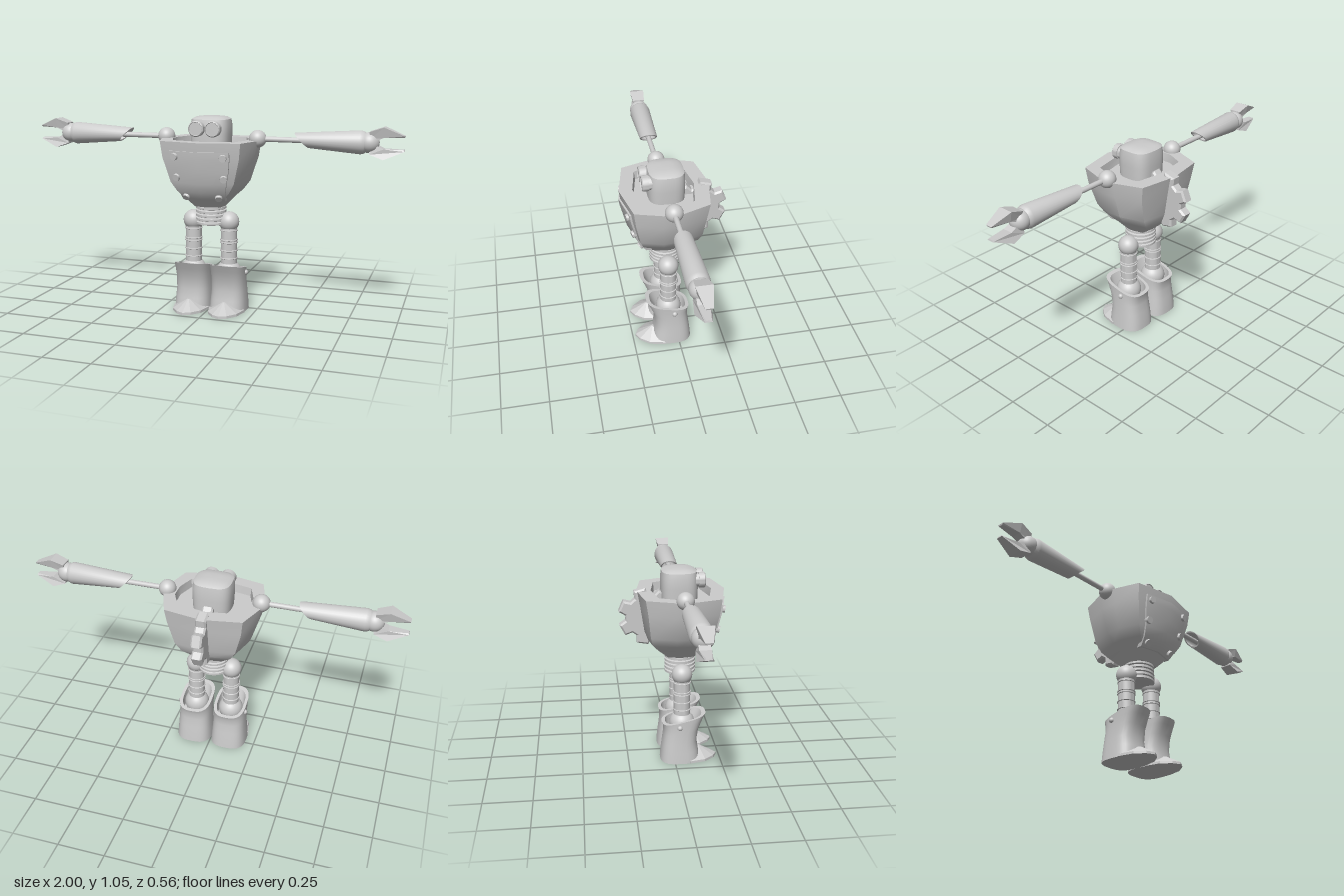
import * as THREE from 'three';
import { toCreasedNormals } from 'three/addons/utils/BufferGeometryUtils.js';

const material = new THREE.MeshStandardMaterial({ color: 0xcccccc });
const MID = 0.045; // depth of the body axis

function add(parent, name, geometry, x = 0, y = 0, z = 0) {
  const mesh = new THREE.Mesh(geometry, material);
  mesh.name = name;
  mesh.position.set(x, y, z);
  parent.add(mesh);
  return mesh;
}

// Skin a list of closed rings ([x, y, z] points) and cap both ends
function loft(rings, crease = 0.45) {
  const n = rings[0].length, pos = rings.flat(2), index = [];
  for (let r = 0; r < rings.length - 1; r++) {
    for (let i = 0; i < n; i++) {
      const a = r * n + i, b = r * n + (i + 1) % n;
      index.push(a, b, b + n, a, b + n, a + n);
    }
  }
  [rings[0], rings[rings.length - 1]].forEach((ring, end) => {
    const c = pos.length / 3, o = end ? (rings.length - 1) * n : 0;
    for (let k = 0; k < 3; k++) pos.push(ring.reduce((s, p) => s + p[k], 0) / n);
    for (let i = 0; i < n; i++) {
      const a = o + i, b = o + (i + 1) % n;
      if (end) index.push(c, a, b); else index.push(c, b, a);
    }
  });
  const g = new THREE.BufferGeometry();
  g.setAttribute('position', new THREE.Float32BufferAttribute(pos, 3));
  g.setIndex(index);
  return toCreasedNormals(g, crease);
}

// Rounded-square ring around the y axis; y may depend on z
function roundedRing(hx, zf, zb, yAt, power = 0.7, n = 32) {
  const bend = v => Math.sign(v) * Math.abs(v) ** power;
  return Array.from({ length: n }, (_, i) => {
    const a = i / n * Math.PI * 2;
    const z = (zf + zb) / 2 + (zf - zb) / 2 * bend(Math.cos(a));
    return [hx * bend(Math.sin(a)), yAt(z), z];
  });
}

const lathe = pts => toCreasedNormals(
  new THREE.LatheGeometry(pts.map(p => new THREE.Vector2(...p)), 32), 0.6);

// Torso levels: y, half width, front z, back z
const LEVELS = [
  [0.57, 0.08, 0.127, -0.037], [0.625, 0.13, 0.185, -0.1], [0.66, 0.17, 0.212, -0.133],
  [0.71, 0.207, 0.235, -0.152], [0.84, 0.248, 0.268, -0.172], [0.925, 0.26, 0.28, -0.187],
];

function torsoRing([y, hx, zf, zb]) {
  const k = hx / 0.26;
  const half = [[0, zf], [0.83 * hx, zf - 0.045 * k], [hx, MID + 0.05 * k],
    [hx, MID - 0.05 * k], [0.79 * hx, zb + 0.035 * k], [0, zb]];
  const other = half.slice(1, -1).reverse().map(([x, z]) => [-x, z]);
  return [...half, ...other].map(([x, z]) => [x, y, z]);
}

// Depth of the torso's front surface at (x, y)
function frontZ(x, y) {
  let i = 0;
  while (i < LEVELS.length - 2 && LEVELS[i + 1][0] < y) i++;
  const a = LEVELS[i], b = LEVELS[i + 1], t = (y - a[0]) / (b[0] - a[0]);
  const hx = a[1] + (b[1] - a[1]) * t, zf = a[2] + (b[2] - a[2]) * t;
  return zf - 0.045 * (hx / 0.26) * Math.abs(x) / (0.83 * hx);
}

function buildTorso(root) {
  // Shell with a rim and a sunken deck
  add(root, 'torso', loft([...LEVELS.map(torsoRing),
    torsoRing([0.925, 0.2, 0.21, -0.11]), torsoRing([0.88, 0.195, 0.205, -0.105])]));

  // Chest panel hugging the front, skinned from bottom to top
  const panelRings = [0.615, 0.625, 0.66, 0.71, 0.775, 0.84, 0.878].map(y => {
    const w = 0.115 + 0.045 * Math.min(1, (y - 0.615) / 0.2);
    const xs = [0, w], out = x => frontZ(x, y) + 0.01, inn = x => frontZ(x, y) - 0.02;
    return [[0, y, out(0)], [xs[1], y, out(w)], [w, y, inn(w)],
      [0, y, inn(0)], [-w, y, inn(w)], [-w, y, out(w)]];
  });
  add(root, 'chestPanel', loft(panelRings));
  for (const s of [-1, 1]) {
    for (const [x, y] of [[0.13, 0.85], [0.127, 0.74], [0.088, 0.635]]) {
      const g = new THREE.CylinderGeometry(0.018, 0.021, 0.022, 16).rotateX(Math.PI / 2);
      const slope = (frontZ(x, y + 0.01) - frontZ(x, y - 0.01)) / 0.02;
      add(root, 'panelBolt', toCreasedNormals(g, 0.6), s * x, y, frontZ(x, y) + 0.012)
        .rotation.set(Math.atan(slope), s * 0.2, 0);
    }
  }

  // Seven-toothed gear standing out of the back
  const gear = new THREE.Shape();
  for (let i = 0; i < 7; i++) {
    const mid = (23 + i * 360 / 7) * Math.PI / 180;
    [[-0.27, 0.109], [-0.165, 0.144], [0.165, 0.144], [0.27, 0.109]].forEach(([da, r], j) => {
      const x = r * Math.cos(mid + da), y = r * Math.sin(mid + da);
      if (i || j) gear.lineTo(x, y); else gear.moveTo(x, y);
    });
  }
  const gearGeo = new THREE.ExtrudeGeometry(gear, { depth: 0.04, bevelSize: 0.009,
    bevelThickness: 0.009, bevelSegments: 1 }).translate(0, 0, -0.02).rotateY(Math.PI / 2);
  add(root, 'backGear', gearGeo, 0, 0.788, -0.13);

  // Ribbed waist
  const pts = [[0, 0.47]];
  for (let i = 0; i < 5; i++) {
    const y = 0.47 + i * 0.021;
    pts.push([0.074, y], [0.083, y + 0.003], [0.083, y + 0.014], [0.074, y + 0.018]);
  }
  add(root, 'waist', lathe([...pts, [0, 0.575]]), 0, 0, MID);
}

function buildHead(root) {
  const levels = [[0.87, 0.1, 0.133, -0.055], [0.95, 0.104, 0.136, -0.058],
    [1.0, 0.104, 0.134, -0.057], [1.03, 0.099, 0.128, -0.053], [1.041, 0.08, 0.105, -0.034],
    [1.046, 0.04, 0.07, 0]];
  add(root, 'head', loft(levels.map(([y, hx, zf, zb]) => roundedRing(hx, zf, zb, () => y, 0.65)), 0.6));
  const eye = lathe([[0, 0], [0.036, 0], [0.036, 0.035], [0.041, 0.035],
    [0.041, 0.065], [0.036, 0.07], [0.034, 0.066], [0, 0.066]]).rotateX(Math.PI / 2);
  for (const s of [-1, 1]) add(root, 'eye', eye, s * 0.045, 0.985, 0.1);
}

// Arm along +x
function buildArm() {
  const arm = new THREE.Group();
  add(arm, 'shoulder', new THREE.SphereGeometry(0.046, 32, 20), 0.253, 0, 0);
  add(arm, 'armRod', new THREE.CylinderGeometry(0.014, 0.014, 0.38, 16).rotateZ(Math.PI / 2), 0.44, 0, 0);

  // Hollow forearm sleeve with a slanted opening
  const ring = (x, ry, rz, slant = 0) => Array.from({ length: 28 }, (_, i) => {
    const a = i / 28 * Math.PI * 2;
    return [x - slant * Math.cos(a), ry * Math.cos(a), rz * Math.sin(a)];
  });
  add(arm, 'forearm', loft([ring(0.62, 0.033, 0.036), ring(0.487, 0.031, 0.041, 0.036),
    ring(0.487, 0.038, 0.048, 0.038), ring(0.785, 0.06, 0.057), ring(0.8, 0.056, 0.053),
    ring(0.815, 0.046, 0.044)]));
  add(arm, 'wrist', new THREE.SphereGeometry(0.052, 32, 20), 0.825, 0, 0);

  // Two tapering claw fingers
  const outline = [[0.83, 0.02], [0.865, 0.012], [0.9, 0.028], [0.998, 0.03], [1, 0.038], [0.9, 0.08], [0.83, 0.056]];
  for (const s of [-1, 1]) {
    const shape = new THREE.Shape(outline.map(([x, y]) => new THREE.Vector2(x, s * y)));
    const g = new THREE.ExtrudeGeometry(shape, { depth: 2, bevelEnabled: false }).translate(0, 0, -1);
    const p = g.attributes.position;
    for (let i = 0; i < p.count; i++) {
      const x = p.getX(i), inner = Math.abs(p.getY(i)) < 0.035 ? 0.7 : 1;
      const w = x < 0.95 ? 0.033 + (x - 0.83) * 0.1 : 0.018;
      p.setZ(i, p.getZ(i) * w * inner);
    }
    g.computeVertexNormals();
    add(arm, 'clawFinger', g);
  }
  return arm;
}

function buildLeg(side) {
  const leg = new THREE.Group();
  add(leg, 'hip', new THREE.SphereGeometry(0.055, 32, 20), 0, 0.485, MID);
  // Ribbed shin
  const pts = [[0.044, 0.2]];
  for (const y of [0.287, 0.33, 0.374, 0.388, 0.44]) {
    pts.push([0.044, y - 0.004], [0.048, y - 0.002], [0.048, y + 0.002], [0.044, y + 0.004]);
  }
  add(leg, 'shin', lathe([...pts, [0.044, 0.48]]), 0, 0, MID);
  add(leg, 'ankle', new THREE.SphereGeometry(0.068, 32, 20), 0, 0.208, MID);

  // Hollow boot with a sloping cuff: height share, half width, front z, back z
  const levels = [[0, 0.1, 0.14, -0.075], [0.25, 0.096, 0.131, -0.07], [0.45, 0.092, 0.123, -0.064],
    [0.7, 0.089, 0.134, -0.057], [0.88, 0.089, 0.155, -0.057], [1, 0.09, 0.172, -0.065],
    [1, 0.074, 0.15, -0.047], [0.7, 0.07, 0.115, -0.04]];
  add(leg, 'boot', loft(levels.map(([t, hx, zf, zb]) =>
    roundedRing(hx, zf, zb, z => t * (0.23 + 0.235 * z))), 0.5));

  // Faceted toe cap
  const base = [[0, 0.235], [0.04, 0.215], [0.08, 0.165], [0.1, 0.08], [0, 0.06],
    [-0.1, 0.08], [-0.08, 0.165], [-0.04, 0.215]];
  const toe = (y, k) => base.map(([x, z]) => [x * k, y, 0.135 + (z - 0.135) * k]);
  add(leg, 'toe', loft([toe(0, 1), toe(0.013, 0.99), toe(0.063, 0.08)], 0.1));
  add(leg, 'bootBolt', new THREE.SphereGeometry(0.014, 16, 12), side * 0.088, 0.208, 0.025);
  return leg;
}

export function createModel() {
  const root = new THREE.Group();
  root.name = 'robot';
  buildTorso(root);
  buildHead(root);
  for (const s of [1, -1]) {
    const label = s > 0 ? 'left' : 'right';
    const arm = buildArm();
    arm.name = label + 'Arm';
    arm.position.set(0, 0.932, MID - 0.003);
    if (s < 0) arm.rotation.y = Math.PI;
    const leg = buildLeg(s);
    leg.name = label + 'Leg';
    leg.position.x = s * 0.1;
    root.add(arm, leg);
  }
  return root;
}
